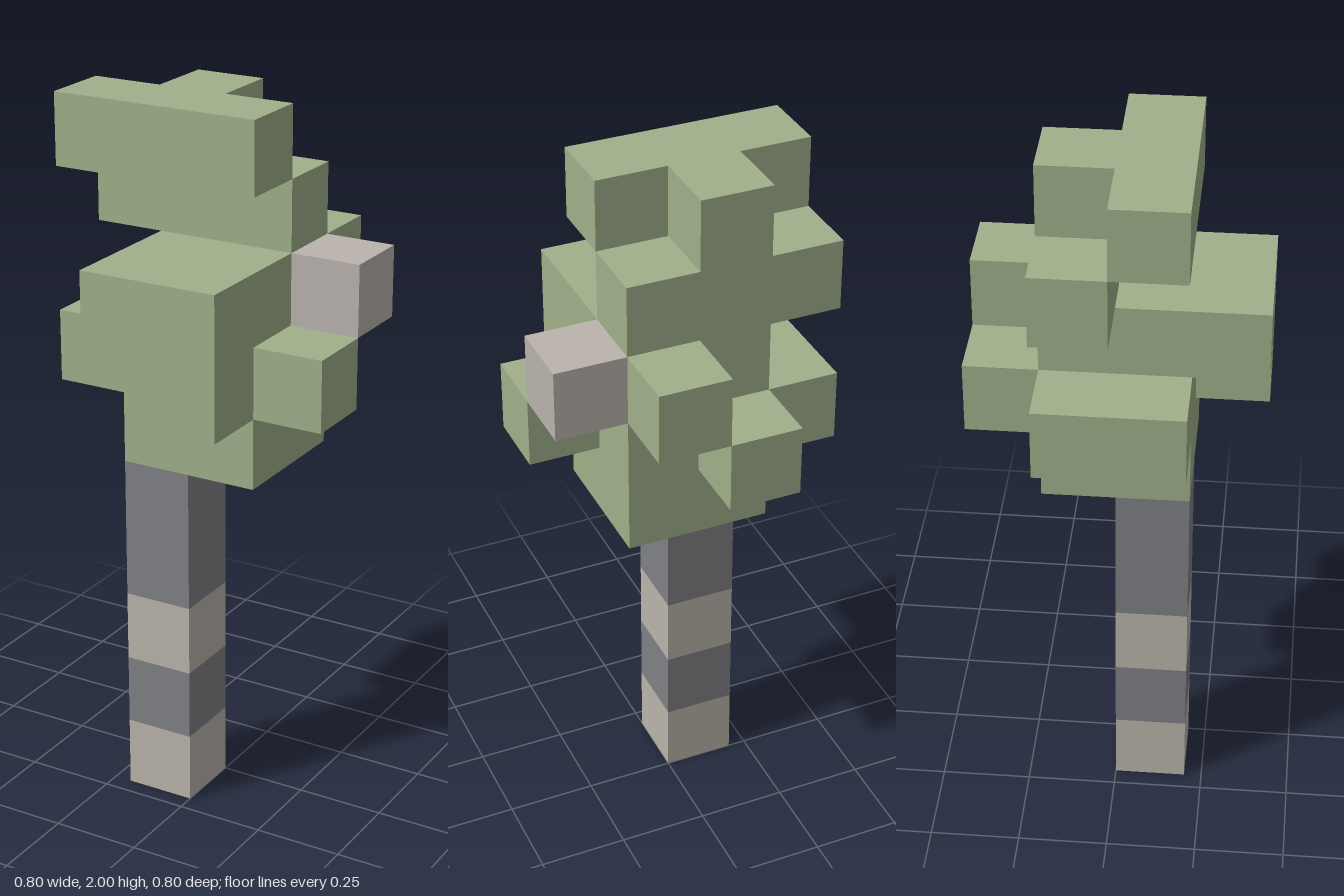
import * as THREE from 'three';
import { mergeGeometries } from 'three/addons/utils/BufferGeometryUtils.js';

const S = 0.2; // edge of one block

// Leaf blocks per layer (layer index -> [column x, column z])
const CORE = [[-1, -1], [0, -1], [-1, 0], [0, 0]];
const LEAVES = {
  5: CORE,
  6: [...CORE, [-2, -1], [-2, 0], [1, 0], [0, 1], [-1, -2]],
  7: [...CORE, [-1, 1], [0, 1], [0, -2]],
  8: [[-2, -1], [-1, -1], [0, -1]],
  9: [[-2, 0], [-1, 0], [0, 0], [-1, -1]],
};
const BLOSSOM = [[1, 7, -1]];
const TRUNK_TOP = [[-1, 4, 0]];

// Outward rotation of a plane for each block side
const H = Math.PI / 2;
const SIDES = [
  { d: [1, 0, 0], r: [0, H, 0] },
  { d: [-1, 0, 0], r: [0, -H, 0] },
  { d: [0, 1, 0], r: [-H, 0, 0] },
  { d: [0, -1, 0], r: [H, 0, 0] },
  { d: [0, 0, 1], r: [0, 0, 0] },
  { d: [0, 0, -1], r: [0, Math.PI, 0] },
];

// Outer skin of a set of blocks: sides that touch a filled block are left out
function blockSkin(cells, filled) {
  const faces = [];
  for (const [x, y, z] of cells) {
    for (const { d, r } of SIDES) {
      if (filled.has([x + d[0], y + d[1], z + d[2]].join())) continue;
      const face = new THREE.PlaneGeometry(S, S);
      face.rotateX(r[0]).rotateY(r[1]);
      face.translate(
        (x + 0.5 + d[0] / 2) * S,
        (y + 0.5 + d[1] / 2) * S,
        (z + 0.5 + d[2] / 2) * S
      );
      faces.push(face);
    }
  }
  return mergeGeometries(faces);
}

function part(name, geometry, color, extra = {}) {
  const material = new THREE.MeshStandardMaterial({ color, flatShading: true, ...extra });
  const mesh = new THREE.Mesh(geometry, material);
  mesh.name = name;
  return mesh;
}

export function createModel() {
  const tree = new THREE.Group();
  tree.name = 'blockTree';

  // Trunk: open square tube in alternating bark bands
  const trunk = new THREE.Group();
  trunk.name = 'trunk';
  const bands = [[0, 1, 0xbab5ab], [1, 1, 0x808185], [2, 1, 0xbab5ab], [3, 2, 0x808185]];
  bands.forEach(([start, count, color], i) => {
    const radius = S * Math.SQRT1_2;
    const tube = new THREE.CylinderGeometry(radius, radius, count * S, 4, 1, true, Math.PI / 4);
    tube.translate(-S / 2, (start + count / 2) * S, S / 2);
    trunk.add(part(`barkBand${i + 1}`, tube, color, { side: THREE.DoubleSide }));
  });
  tree.add(trunk);

  // Crown: leaf blocks and one pale block
  const leaves = Object.entries(LEAVES).flatMap(([y, cells]) => cells.map(([x, z]) => [x, +y, z]));
  const filled = new Set([...leaves, ...BLOSSOM, ...TRUNK_TOP].map((c) => c.join()));
  tree.add(part('foliage', blockSkin(leaves, filled), 0xa0b08a));
  tree.add(part('paleBlock', blockSkin(BLOSSOM, filled), 0xbab3ad));

  return tree;
}
